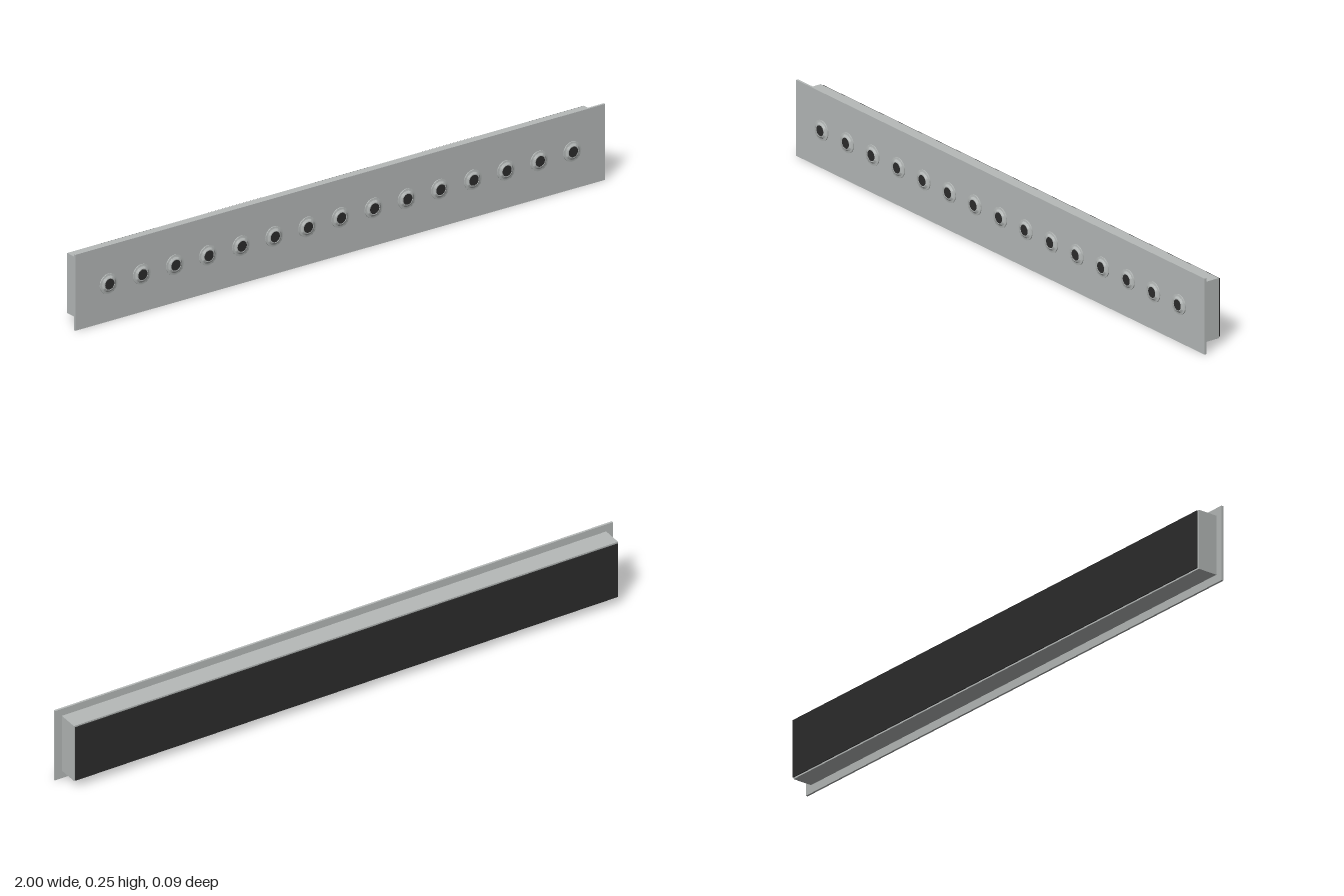
import * as THREE from 'three';
import { toCreasedNormals } from 'three/addons/utils/BufferGeometryUtils.js';

export function createModel() {
  const model = new THREE.Group();
  model.name = 'nozzleBar';
  const metal = new THREE.MeshStandardMaterial({ color: 0xb6bab9 });
  metal.name = 'grey metal';
  const dark = new THREE.MeshStandardMaterial({ color: 0x2c2c2c });
  dark.name = 'dark rubber';

  // Box spanning the given y and z ranges, centred on x
  function slab(name, width, y0, y1, z0, z1, material) {
    const mesh = new THREE.Mesh(new THREE.BoxGeometry(width, y1 - y0, z1 - z0), material);
    mesh.position.set(0, (y0 + y1) / 2, (z0 + z1) / 2);
    mesh.name = name;
    model.add(mesh);
  }
  slab('frontPlate', 2, 0, 0.25, 0.03, 0.037, metal);
  slab('housing', 1.95, 0.027, 0.225, -0.038, 0.03, metal);
  slab('backPanel', 1.944, 0.03, 0.222, -0.044, -0.041, dark);

  // Round flange rising to a raised lip around the dark centre
  const profile = [
    [0.033, 0], [0.033, 0.003], [0.026, 0.0035], [0.0255, 0.004],
    [0.020, 0.0075], [0.0175, 0.0075], [0.0165, 0.004],
  ].map(([r, h]) => new THREE.Vector2(r, h));
  const flangeGeometry = toCreasedNormals(new THREE.LatheGeometry(profile, 32), 0.5);
  flangeGeometry.rotateX(Math.PI / 2);
  const centreGeometry = new THREE.CylinderGeometry(0.0175, 0.0175, 0.006, 32);
  centreGeometry.rotateX(Math.PI / 2);

  // Evenly spaced row of nozzles
  for (let i = -7; i <= 7; i++) {
    const nozzle = new THREE.Group();
    nozzle.name = 'nozzle';
    const flange = new THREE.Mesh(flangeGeometry, metal);
    flange.name = 'nozzleFlange';
    const centre = new THREE.Mesh(centreGeometry, dark);
    centre.name = 'nozzleCentre';
    centre.position.z = 0.004;
    nozzle.add(flange, centre);
    nozzle.position.set(i * 0.125, 0.125, 0.037);
    model.add(nozzle);
  }
  return model;
}
